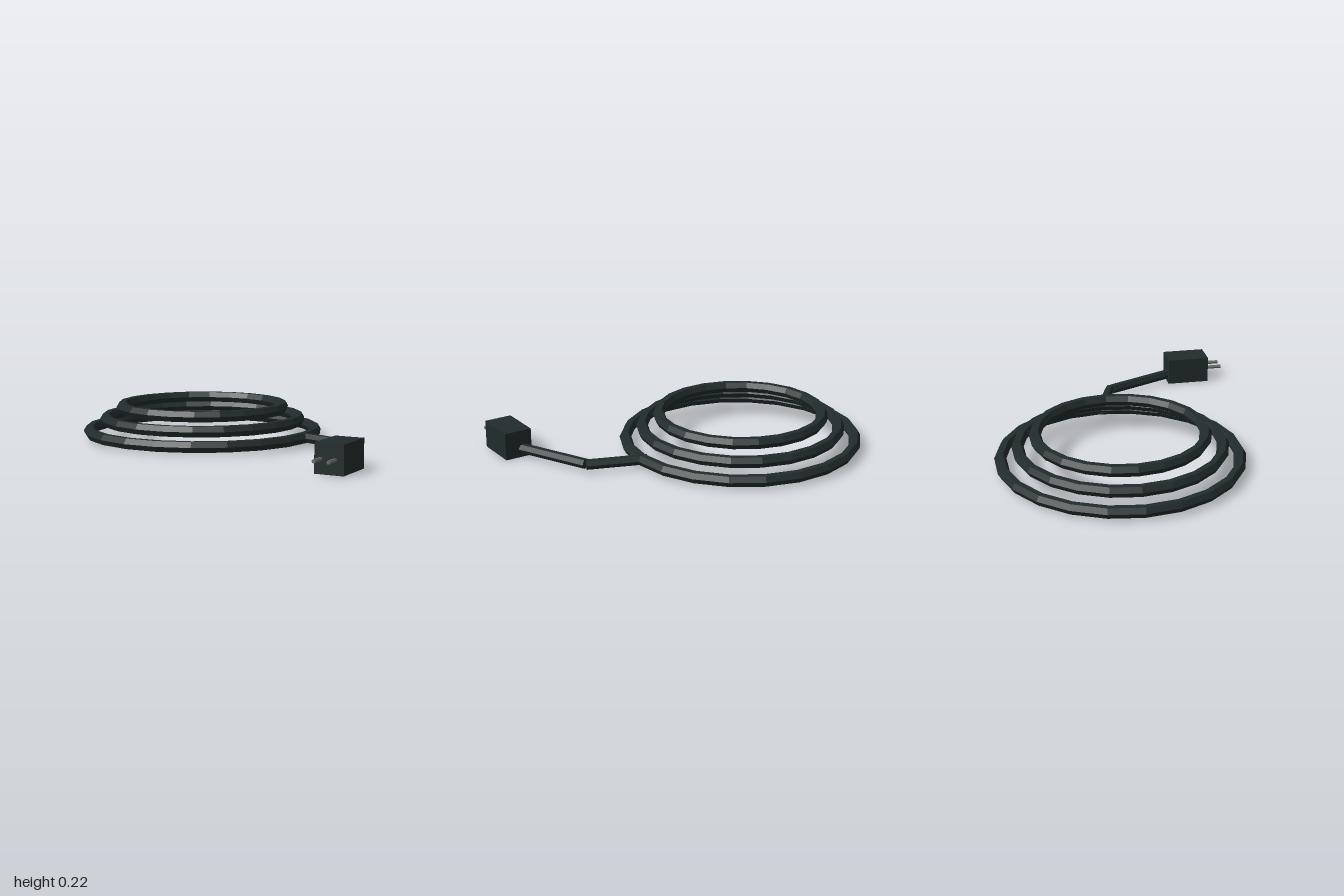
import * as THREE from 'three';

export function createModel() {
  const model = new THREE.Group();
  model.name = 'coiledPowerCord';

  const rubber = new THREE.MeshStandardMaterial({ color: 0x212c2c, flatShading: true });
  rubber.name = 'dark rubber';
  const metal = new THREE.MeshStandardMaterial({ color: 0x6a6c6c, flatShading: true });
  metal.name = 'grey metal';

  function add(name, geometry, material, x, y, z) {
    const mesh = new THREE.Mesh(geometry, material);
    mesh.name = name;
    mesh.position.set(x, y, z);
    model.add(mesh);
    return mesh;
  }

  // Six-sided bar between two points at one height, corners pointing sideways
  function bar(name, radius, y, [x1, z1], [x2, z2], material) {
    const dx = x2 - x1, dz = z2 - z1;
    const geometry = new THREE.CylinderGeometry(radius, radius, Math.hypot(dx, dz), 6);
    geometry.rotateY(Math.PI / 2).rotateX(Math.PI / 2);
    const mesh = add(name, geometry, material, (x1 + x2) / 2, y, (z1 + z2) / 2);
    mesh.rotation.y = Math.atan2(dx, dz);
  }

  // Three stacked coils, each smaller than the one below
  ['lowerCoil', 'middleCoil', 'upperCoil'].forEach((name, i) => {
    const ring = new THREE.TorusGeometry(0.685 - i * 0.1, 0.035, 6, 22);
    ring.rotateX(Math.PI / 2);
    add(name, ring, rubber, -0.282, 0.049 + i * 0.0715, -0.092);
  });

  // Loose end of the cord, bent once on its way to the plug
  bar('cordInner', 0.03, 0.05, [0.376, -0.096], [0.705, 0.027], rubber);
  bar('cordOuter', 0.03, 0.05, [0.701, 0.04], [0.893, 0.46], rubber);

  // Plug body and its two pins
  add('plugBody', new THREE.BoxGeometry(0.165, 0.163, 0.263), rubber, 0.917, 0.0815, 0.577);
  for (const side of [-1, 1]) {
    const x = 0.916 + side * 0.041;
    bar(side < 0 ? 'rightPin' : 'leftPin', 0.011, 0.082, [x, 0.72], [x, 0.805], metal);
  }

  return model;
}
